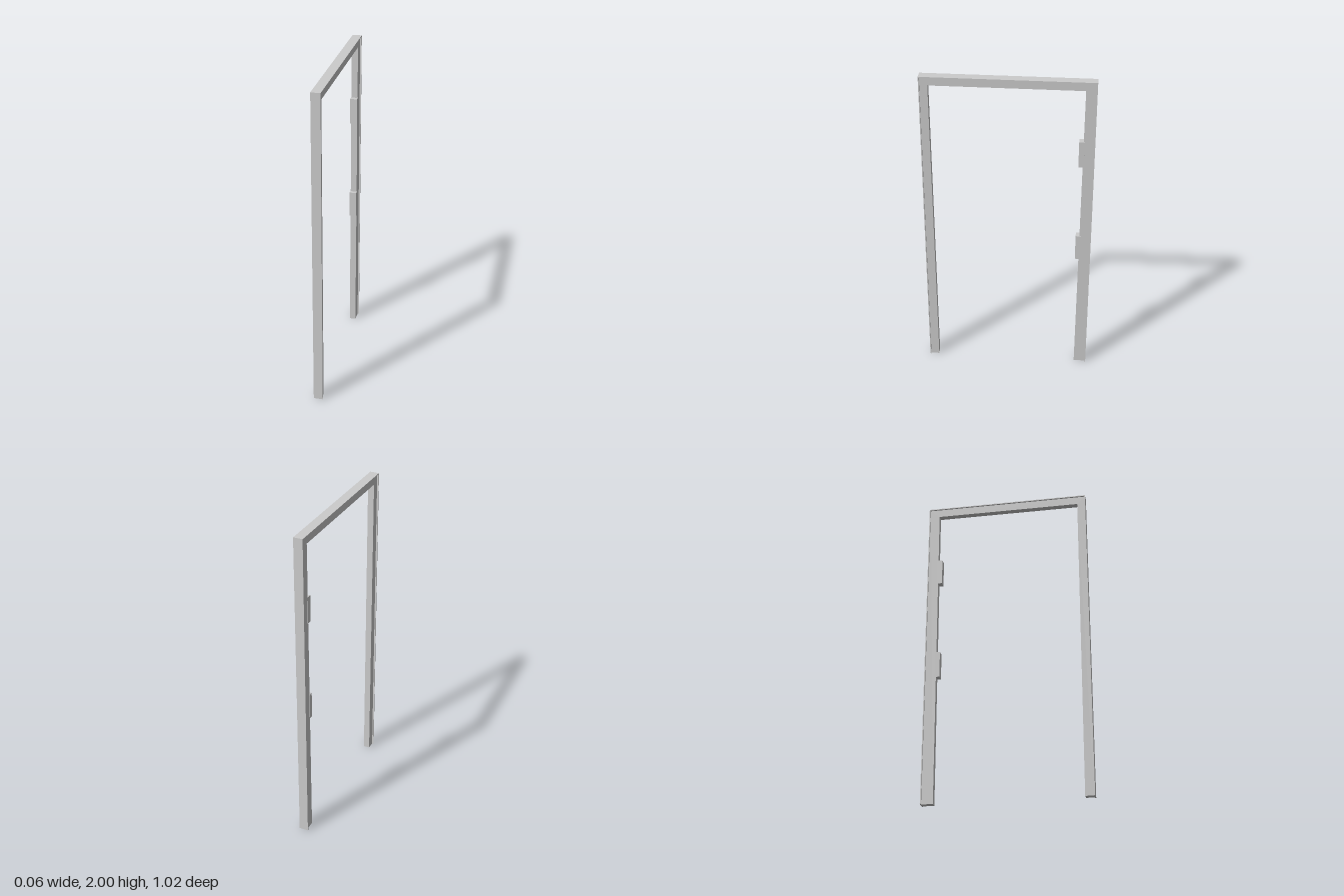
import * as THREE from 'three';

const material = new THREE.MeshStandardMaterial({ color: 0xcccccc, flatShading: true });

// Extrudes an outline drawn in the (z, y) plane to a width centred on x = 0
function slab(name, outline, width) {
  const shape = new THREE.Shape(outline.map(([z, y]) => new THREE.Vector2(z, y)));
  const geometry = new THREE.ExtrudeGeometry(shape, { depth: width, bevelEnabled: false });
  geometry.translate(0, 0, -width / 2).rotateY(-Math.PI / 2);
  const mesh = new THREE.Mesh(geometry, material);
  mesh.name = name;
  return mesh;
}

// Arch-shaped outline: outer half width and top, then the four inner corners
function arch(half, top, inner) {
  return [[-half, 0], ...inner, [half, 0], [half, top], [-half, top]];
}

export function createModel() {
  const group = new THREE.Group();
  group.name = 'doorFrame';

  const half = 0.512, lip = 0.006;

  // Wide thin casing around the outside
  group.add(slab('outerCasing', arch(half, 2, [
    [-half + lip, 0], [-half + lip, 2 - lip], [half - lip, 2 - lip], [half - lip, 0],
  ]), 0.057));

  // Narrower jambs and lintel, with slightly tapering inner edges
  group.add(slab('jambsAndLintel', arch(half - lip, 2 - lip, [
    [-0.436, 0], [-0.446, 1.944], [0.46, 1.944], [0.454, 0],
  ]), 0.039));

  // Two hinges on the rear jamb
  for (const [name, y] of [['lowerHinge', 0.886], ['upperHinge', 1.533]]) {
    const hinge = new THREE.Mesh(new THREE.BoxGeometry(0.044, 0.166, 0.032), material);
    hinge.name = name;
    hinge.position.set(0, y, -0.434);
    group.add(hinge);
  }
  return group;
}
